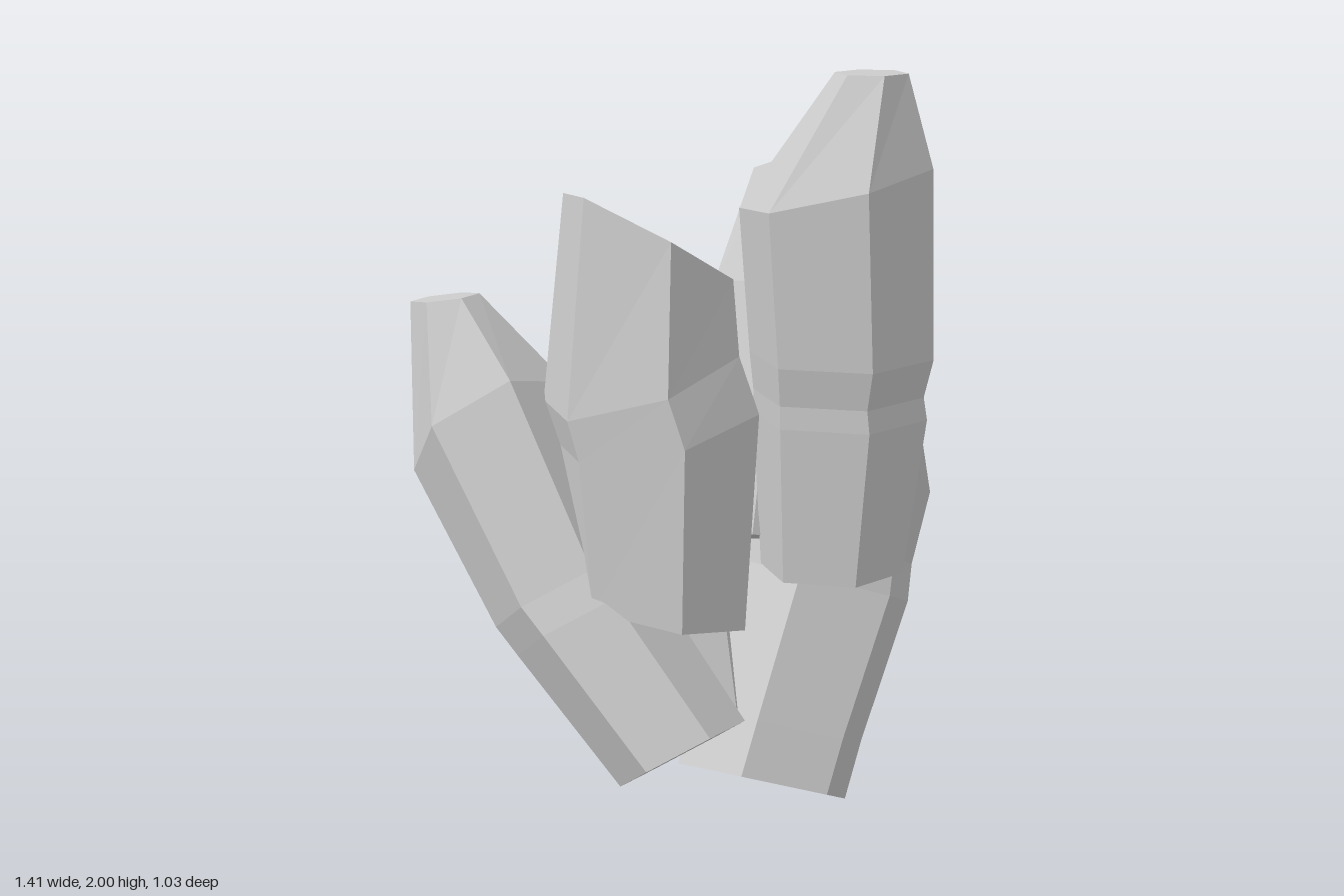
import * as THREE from 'three';

const SIDES = 6;
const vec = (a) => new THREE.Vector3(...a);

// A faceted crystal lofted through rings: { c: centre, r: radius, n: optional cut normal }.
// spin turns the corners around the axis, 0 puts one at the front.
function crystal(name, spin, rings, material) {
  const axis = vec(rings[rings.length - 1].c).sub(vec(rings[0].c)).normalize();
  const u = new THREE.Vector3(0, 0, 1).addScaledVector(axis, -axis.z).normalize();
  const v = axis.clone().cross(u);

  const positions = [];
  for (const { c, r, n } of rings) {
    const normal = n ? vec(n) : axis;
    for (let k = 0; k < SIDES; k++) {
      const a = THREE.MathUtils.degToRad(spin) + (k / SIDES) * Math.PI * 2;
      const offset = u.clone().multiplyScalar(r * Math.cos(a)).addScaledVector(v, r * Math.sin(a));
      // slide the corner along the axis onto the cut plane
      offset.addScaledVector(axis, -normal.dot(offset) / normal.dot(axis));
      positions.push(...offset.add(vec(c)).toArray());
    }
  }

  const index = [];
  const last = (rings.length - 1) * SIDES;
  for (let i = 0; i < last; i += SIDES) {
    for (let k = 0; k < SIDES; k++) {
      const a = i + k, b = i + ((k + 1) % SIDES);
      index.push(a, b, b + SIDES, a, b + SIDES, a + SIDES);
    }
  }
  // flat ends
  for (let k = 1; k < SIDES - 1; k++) {
    index.push(0, k + 1, k, last, last + k, last + k + 1);
  }

  const indexed = new THREE.BufferGeometry();
  indexed.setAttribute('position', new THREE.Float32BufferAttribute(positions, 3));
  indexed.setIndex(index);
  const geometry = indexed.toNonIndexed();
  geometry.computeVertexNormals();
  const mesh = new THREE.Mesh(geometry, material);
  mesh.name = name;
  return mesh;
}

export function createModel() {
  const group = new THREE.Group();
  group.name = 'crystalCluster';
  const material = new THREE.MeshStandardMaterial({ color: 0xcccccc, flatShading: true });
  const add = (name, spin, rings) => group.add(crystal(name, spin, rings, material));

  // upright, tallest
  add('tallCrystal', 0, [
    { c: [0.35, 0.7, 0.15], r: 0.19, n: [0, 1, 0] },
    { c: [0.37, 1.11, 0.14], r: 0.23, n: [0, 1, 0] },
    { c: [0.365, 1.17, 0.14], r: 0.225, n: [0, 1, 0] },
    { c: [0.37, 1.27, 0.145], r: 0.242, n: [0, 1, 0] },
    { c: [0.35, 1.705, 0.14], r: 0.247, n: [-0.22, 1, -0.08] },
    { c: [0.43, 2, 0.178], r: 0.094, n: [0, 1, 0] },
  ]);

  // wide, with a slanted cut on top
  add('bluntCrystal', 0, [
    { c: [-0.14, 0.645, 0.2], r: 0.23, n: [0.2, 1, 0] },
    { c: [-0.125, 1.11, 0.13], r: 0.273, n: [-0.19, 1, 0] },
    { c: [-0.16, 1.235, 0.115], r: 0.26, n: [-0.3, 1, 0] },
    { c: [-0.13, 1.595, 0.08], r: 0.22, n: [0.58, 1, -0.08] },
  ]);

  // leaning to the side and back
  add('leaningCrystal', 20, [
    { c: [-0.12, 0.305, 0.365], r: 0.18 },
    { c: [-0.32, 0.62, 0.16], r: 0.2 },
    { c: [-0.365, 0.685, 0.11], r: 0.2 },
    { c: [-0.505, 1.08, -0.12], r: 0.23, n: [-0.36, 0.83, -0.7] },
    { c: [-0.6, 1.41, -0.21], r: 0.085, n: [-0.1, 1, -0.1] },
  ]);

  // short one leaning straight back
  add('shortBackCrystal', -20, [
    { c: [-0.02, 0.25, 0.08], r: 0.165 },
    { c: [-0.03, 0.55, -0.11], r: 0.19 },
    { c: [-0.035, 0.62, -0.16], r: 0.19 },
    { c: [-0.025, 0.84, -0.28], r: 0.19 },
    { c: [-0.08, 1.09, -0.452], r: 0.075, n: [0, 1, -0.7] },
  ]);

  // taller one behind the upright crystal
  add('tallBackCrystal', 37, [
    { c: [0.21, 0.73, -0.07], r: 0.15 },
    { c: [0.275, 1.0, -0.17], r: 0.185 },
    { c: [0.29, 1.07, -0.2], r: 0.185 },
    { c: [0.35, 1.36, -0.31], r: 0.2 },
    { c: [0.37, 1.69, -0.395], r: 0.073, n: [0, 1, -0.5] },
  ]);

  // low one leaning outward, cut steeply
  add('outerCrystal', 24, [
    { c: [0.185, 0.093, 0.08], r: 0.24, n: [0.32, 1, -0.3] },
    { c: [0.245, 0.245, 0.04], r: 0.24 },
    { c: [0.4, 0.6, -0.07], r: 0.255 },
    { c: [0.42, 0.7, -0.085], r: 0.25 },
    { c: [0.49, 1.02, -0.117], r: 0.27, n: [1, 1, -0.52] },
  ]);

  return group;
}
